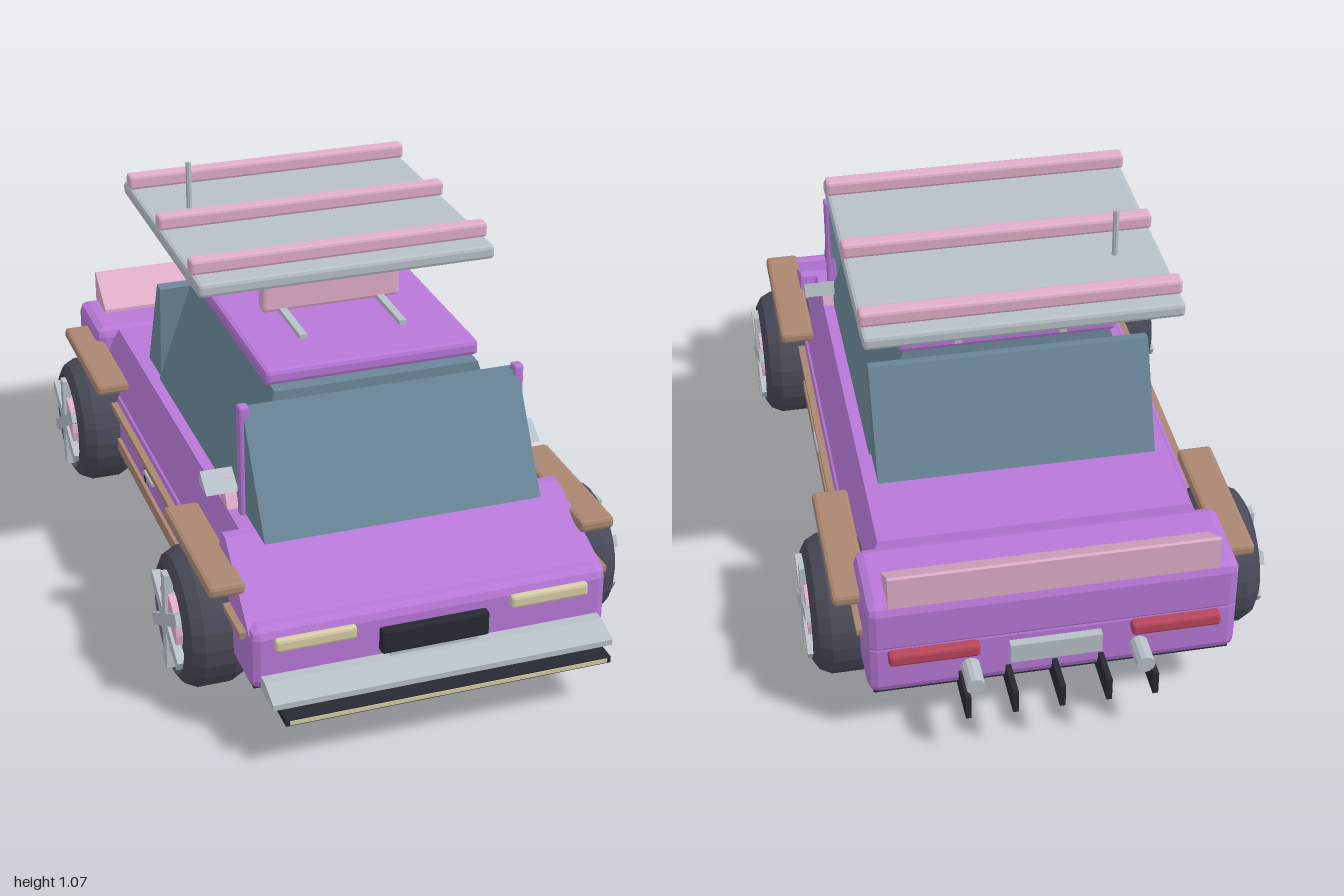
import * as THREE from 'three';
import { RoundedBoxGeometry } from 'three/addons/geometries/RoundedBoxGeometry.js';

const mat = (color) => new THREE.MeshStandardMaterial({ color, flatShading: true });
const PAINT = mat(0xb878d8), GLASS = mat(0x6a8798), BROWN = mat(0xab8670), PINK = mat(0xe0aecb),
  METAL = mat(0xb8c1c8), TYRE = mat(0x484a58), DARK = mat(0x282a33), CREAM = mat(0xd6cda6), RED = mat(0xb8465a);

export function createModel() {
  const car = new THREE.Group();
  car.name = 'car';

  const add = (name, geometry, material, parent = car) => {
    const mesh = new THREE.Mesh(geometry, material);
    mesh.name = name;
    parent.add(mesh);
    return mesh;
  };

  // Box given by its limits on each axis, with optional chamfered edges
  const box = (name, material, [x0, x1], [y0, y1], [z0, z1], chamfer = 0) => {
    const size = [x1 - x0, y1 - y0, z1 - z0];
    const g = chamfer ? new RoundedBoxGeometry(...size, 1, chamfer) : new THREE.BoxGeometry(...size);
    g.translate((x0 + x1) / 2, (y0 + y1) / 2, (z0 + z1) / 2);
    return add(name, g, material);
  };

  // The same box on both sides of the car
  const pair = (name, material, [x0, x1], y, z, chamfer) => {
    box('left' + name, material, [x0, x1], y, z, chamfer);
    box('right' + name, material, [-x1, -x0], y, z, chamfer);
  };

  // Tapered block: each level is [y, half width, back z, front z]
  const taper = (name, material, low, high) => {
    const g = new THREE.BoxGeometry(2, 2, 2);
    const p = g.attributes.position;
    for (let i = 0; i < p.count; i++) {
      const [y, w, back, front] = p.getY(i) < 0 ? low : high;
      p.setXYZ(i, p.getX(i) * w, y, p.getZ(i) < 0 ? back : front);
    }
    g.computeVertexNormals();
    return add(name, g, material);
  };

  // Side profile of [z, y] points extruded across the car
  const profile = (name, material, points, halfWidth, x = 0) => {
    const shape = new THREE.Shape(points.map(([z, y]) => new THREE.Vector2(z, y)));
    const g = new THREE.ExtrudeGeometry(shape, { depth: halfWidth * 2, bevelEnabled: false });
    g.translate(0, 0, -halfWidth).rotateY(-Math.PI / 2).translate(x, 0, 0);
    return add(name, g, material);
  };

  // Body shell
  box('floor', DARK, [-0.45, 0.45], [0.135, 0.16], [-0.88, 0.84]);
  box('lowerBody', PAINT, [-0.465, 0.465], [0.145, 0.31], [-0.9, 0.87], 0.025);
  taper('shoulders', PAINT, [0.28, 0.463, -0.7, 0.62], [0.42, 0.4, -0.65, 0.6]);
  taper('hood', PAINT, [0.295, 0.463, 0.55, 0.85], [0.42, 0.445, 0.57, 0.6]);
  box('tail', PAINT, [-0.465, 0.465], [0.27, 0.42], [-0.9, -0.66], 0.025);

  // Cabin
  taper('sideWindows', GLASS, [0.42, 0.37, -0.3, 0.48], [0.725, 0.27, -0.28, 0.46]);
  profile('windshield', GLASS, [[0.67, 0.425], [0.5, 0.705], [0.46, 0.7], [0.49, 0.425]], 0.365);
  profile('rearWindow', GLASS, [[-0.43, 0.425], [-0.3, 0.425], [-0.28, 0.7], [-0.31, 0.705]], 0.365);
  box('roof', PAINT, [-0.285, 0.285], [0.725, 0.767], [-0.29, 0.43], 0.012);
  pair('FrontPillar', PAINT, [0.35, 0.377], [0.41, 0.72], [0.478, 0.51], 0.006);

  // Mirrors
  for (const s of [1, -1]) {
    const side = s > 0 ? 'left' : 'right';
    profile(side + 'MirrorBracket', PINK, [[0.47, 0.42], [0.43, 0.49], [0.41, 0.42]], 0.015, s * 0.385);
    profile(side + 'Mirror', METAL, [[0.465, 0.465], [0.405, 0.505], [0.395, 0.465]], 0.042, s * 0.41);
  }

  // Roof rack and aerial
  pair('RoofRail', METAL, [0.125, 0.145], [0.765, 0.78], [-0.33, 0.28]);
  box('rackSupport', PINK, [-0.19, 0.19], [0.77, 0.91], [0.068, 0.11], 0.01);
  box('rackBoard', METAL, [-0.4, 0.4], [0.902, 0.94], [-0.515, 0.25], 0.01);
  for (const z of [-0.45, -0.14, 0.17]) {
    box('rackBar', PINK, [-0.402, 0.402], [0.94, 0.98], [z - 0.021, z + 0.021], 0.008);
  }
  add('aerial', new THREE.CylinderGeometry(0.008, 0.008, 0.33, 8), METAL).position.set(-0.28, 0.905, -0.26);

  // Side trim
  pair('SideStripe', BROWN, [0.45, 0.48], [0.275, 0.292], [-0.82, 0.83]);
  pair('Sill', BROWN, [0.44, 0.475], [0.158, 0.195], [-0.42, 0.4]);
  for (const z of [0.37, -0.12]) pair('DoorSeam', DARK, [0.45, 0.468], [0.2, 0.275], [z - 0.004, z + 0.004]);
  pair('DoorHandle', METAL, [0.46, 0.485], [0.257, 0.273], [-0.065, 0.02], 0.005);
  pair('FrontFender', BROWN, [0.44, 0.533], [0.35, 0.383], [0.337, 0.757], 0.01);
  pair('RearFender', BROWN, [0.44, 0.533], [0.35, 0.383], [-0.795, -0.378], 0.01);

  // Nose
  pair('Headlight', CREAM, [0.2, 0.407], [0.252, 0.287], [0.84, 0.885], 0.008);
  box('grille', DARK, [-0.14, 0.14], [0.198, 0.263], [0.85, 0.893], 0.006);
  box('grilleStrip', METAL, [-0.115, 0.115], [0.183, 0.197], [0.85, 0.885]);
  profile('bumper', METAL, [[0.87, 0.15], [0.965, 0.15], [0.965, 0.165], [0.9, 0.187], [0.87, 0.187]], 0.44);
  box('splitter', DARK, [-0.42, 0.42], [0.125, 0.142], [0.84, 1.0]);
  box('splitterEdge', CREAM, [-0.41, 0.41], [0.128, 0.139], [0.98, 1.002]);

  // Rear
  profile('spoiler', PINK, [[-0.895, 0.415], [-0.775, 0.415], [-0.775, 0.43], [-0.885, 0.505], [-0.895, 0.505]], 0.41);
  pair('TailLight', RED, [0.19, 0.415], [0.252, 0.287], [-0.925, -0.88], 0.008);
  box('rearPanel', METAL, [-0.115, 0.115], [0.215, 0.27], [-0.922, -0.89]);
  for (let i = -2; i <= 2; i++) {
    box('diffuserFin', DARK, [i * 0.117 - 0.007, i * 0.117 + 0.007], [0.125, 0.19], [-1.0, -0.84]);
  }
  for (const s of [1, -1]) {
    const pipe = add('exhaust', new THREE.CylinderGeometry(0.024, 0.024, 0.14, 12), METAL);
    pipe.rotation.x = Math.PI / 2;
    pipe.position.set(s * 0.212, 0.205, -0.91);
  }

  // Wheels, built with the axle along +x
  const tyreShape = [[0.001, -0.085], [0.14, -0.085], [0.165, -0.07], [0.18, -0.04], [0.18, 0.04],
    [0.165, 0.07], [0.14, 0.085], [0.135, 0.072], [0.001, 0.072]].map((p) => new THREE.Vector2(...p));
  const tyreGeometry = new THREE.LatheGeometry(tyreShape, 24).rotateZ(-Math.PI / 2);
  const hubGeometry = new THREE.CylinderGeometry(0.085, 0.085, 0.03, 20).rotateZ(Math.PI / 2);
  const spokeGeometry = new THREE.BoxGeometry(0.022, 0.27, 0.032);
  for (const s of [1, -1]) {
    for (const z of [0.547, -0.583]) {
      const wheel = new THREE.Group();
      wheel.name = (s > 0 ? 'left' : 'right') + (z > 0 ? 'Front' : 'Rear') + 'Wheel';
      add('tyre', tyreGeometry, TYRE, wheel);
      add('hub', hubGeometry, PINK, wheel).position.x = 0.075;
      for (let i = 0; i < 3; i++) {
        const spoke = add('spoke', spokeGeometry, METAL, wheel);
        spoke.position.x = 0.087;
        spoke.rotation.x = (i * Math.PI) / 3;
      }
      wheel.position.set(s * 0.495, 0.182, z);
      if (s < 0) wheel.rotation.y = Math.PI;
      car.add(wheel);
    }
  }

  return car;
}
